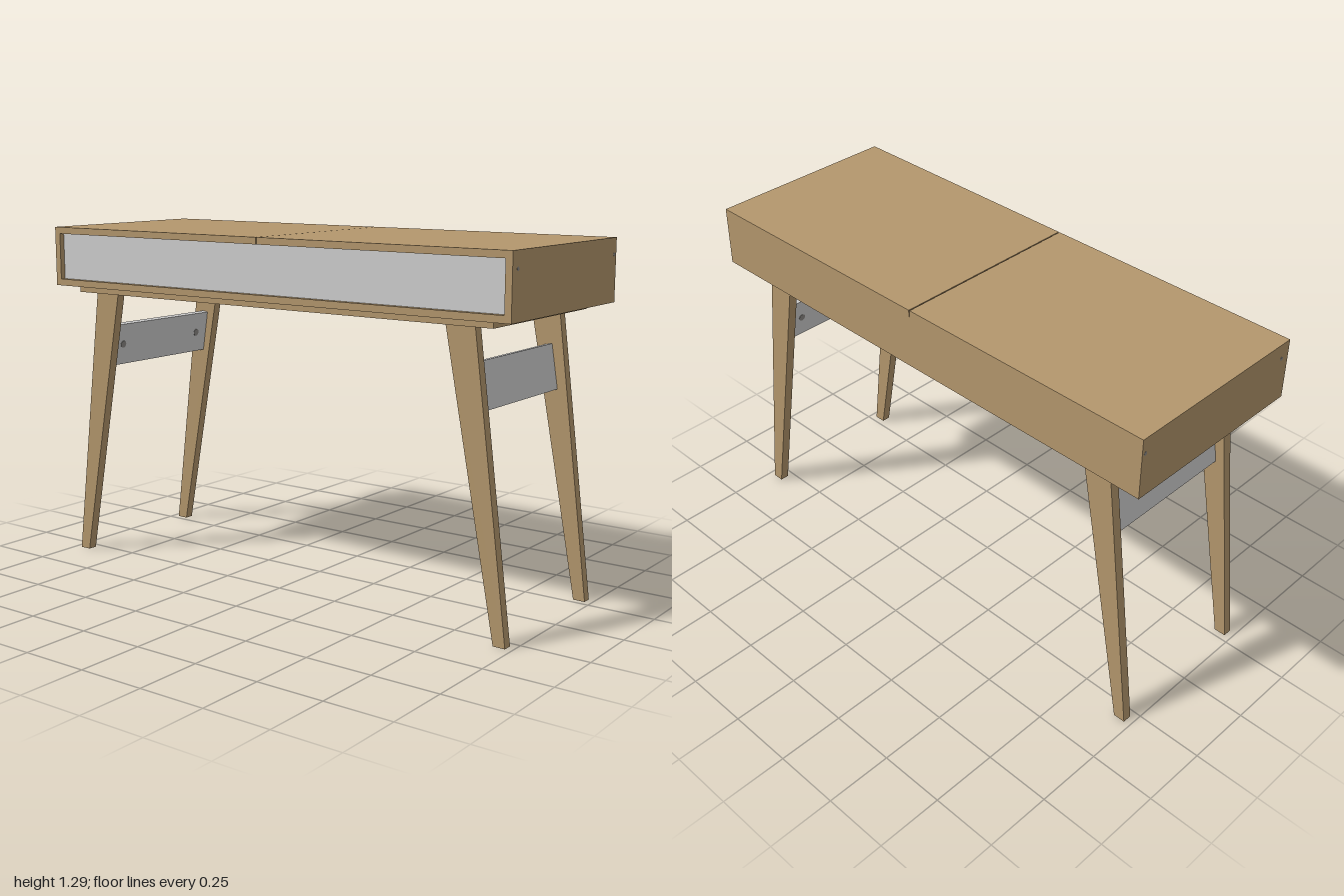
import * as THREE from 'three';

const wood = new THREE.MeshStandardMaterial({ color: 0xb4976d });
wood.name = 'wood';
const greyPaint = new THREE.MeshStandardMaterial({ color: 0xd0d0d0 });
greyPaint.name = 'grey paint';
const metal = new THREE.MeshStandardMaterial({ color: 0x8c8a86 });
metal.name = 'metal';

function add(parent, name, geometry, material) {
  const mesh = new THREE.Mesh(geometry, material);
  mesh.name = name;
  parent.add(mesh);
  return mesh;
}

// Box given by its limits on each axis
function block(parent, name, material, [x0, x1], [y0, y1], [z0, z1]) {
  const mesh = add(parent, name, new THREE.BoxGeometry(x1 - x0, y1 - y0, z1 - z0), material);
  mesh.position.set((x0 + x1) / 2, (y0 + y1) / 2, (z0 + z1) / 2);
  return mesh;
}

// Thin disc whose axis lies along x
function disc(parent, name, radius, x, y, z) {
  const geometry = new THREE.CylinderGeometry(radius, radius, 0.004, 20).rotateZ(Math.PI / 2);
  add(parent, name, geometry, metal).position.set(x, y, z);
}

// Tapered leg, splayed outwards towards the floor
function legGeometry() {
  const shape = new THREE.Shape([
    new THREE.Vector2(0.73, 1.045),
    new THREE.Vector2(0.93, 0),
    new THREE.Vector2(0.975, 0),
    new THREE.Vector2(0.84, 1.045),
  ]);
  return new THREE.ExtrudeGeometry(shape, { depth: 0.035, bevelEnabled: false });
}

// Two legs and the leaning rail between them
function legPair(name) {
  const pair = new THREE.Group();
  pair.name = name;
  for (const [legName, z] of [['frontLeg', 0.275], ['backLeg', -0.31]]) {
    add(pair, legName, legGeometry(), wood).position.z = z;
  }
  const rail = new THREE.Group();
  rail.name = 'sideRail';
  rail.position.set(0.815, 0.838, 0);
  rail.rotation.z = 0.16;
  add(rail, 'railBoard', new THREE.BoxGeometry(0.025, 0.163, 0.55), greyPaint);
  for (const z of [-0.215, 0.215]) disc(rail, 'railScrew', 0.014, -0.0125, 0, z);
  pair.add(rail);
  return pair;
}

export function createModel() {
  const desk = new THREE.Group();
  desk.name = 'desk';
  const T = 0.025, bottom = 1.07, top = 1.295, depth = 0.37, gap = 0.002;

  // Desk body: split top, ends, base, back and recessed front
  const body = new THREE.Group();
  body.name = 'body';
  desk.add(body);
  block(body, 'topRight', wood, [-1 + T, -gap], [top - T, top], [-depth, depth]);
  block(body, 'topLeft', wood, [gap, 1 - T], [top - T, top], [-depth, depth]);
  block(body, 'endRight', wood, [-1, -1 + T], [bottom, top], [-depth, depth]);
  block(body, 'endLeft', wood, [1 - T, 1], [bottom, top], [-depth, depth]);
  block(body, 'base', wood, [-1 + T, 1 - T], [bottom, bottom + T], [-depth, depth]);
  block(body, 'back', wood, [-1 + T, 1 - T], [bottom + T, top - T], [-depth, -depth + T]);
  block(body, 'frontPanel', greyPaint, [-1 + T, 1 - T], [bottom + T, top - T], [0.325, 0.35]);

  // Small pins in both ends
  for (const x of [-1, 1]) {
    for (const z of [0.335, -0.355]) disc(body, 'endPin', 0.007, x * 0.9985, 1.237, z);
  }

  // Mounting plate under the body
  block(desk, 'mountingPlate', wood, [-0.915, 0.915], [1.045, bottom], [-0.328, 0.328]);

  // Leg pairs, the second turned half round
  desk.add(legPair('leftLegs'));
  const right = legPair('rightLegs');
  right.rotation.y = Math.PI;
  desk.add(right);
  return desk;
}
